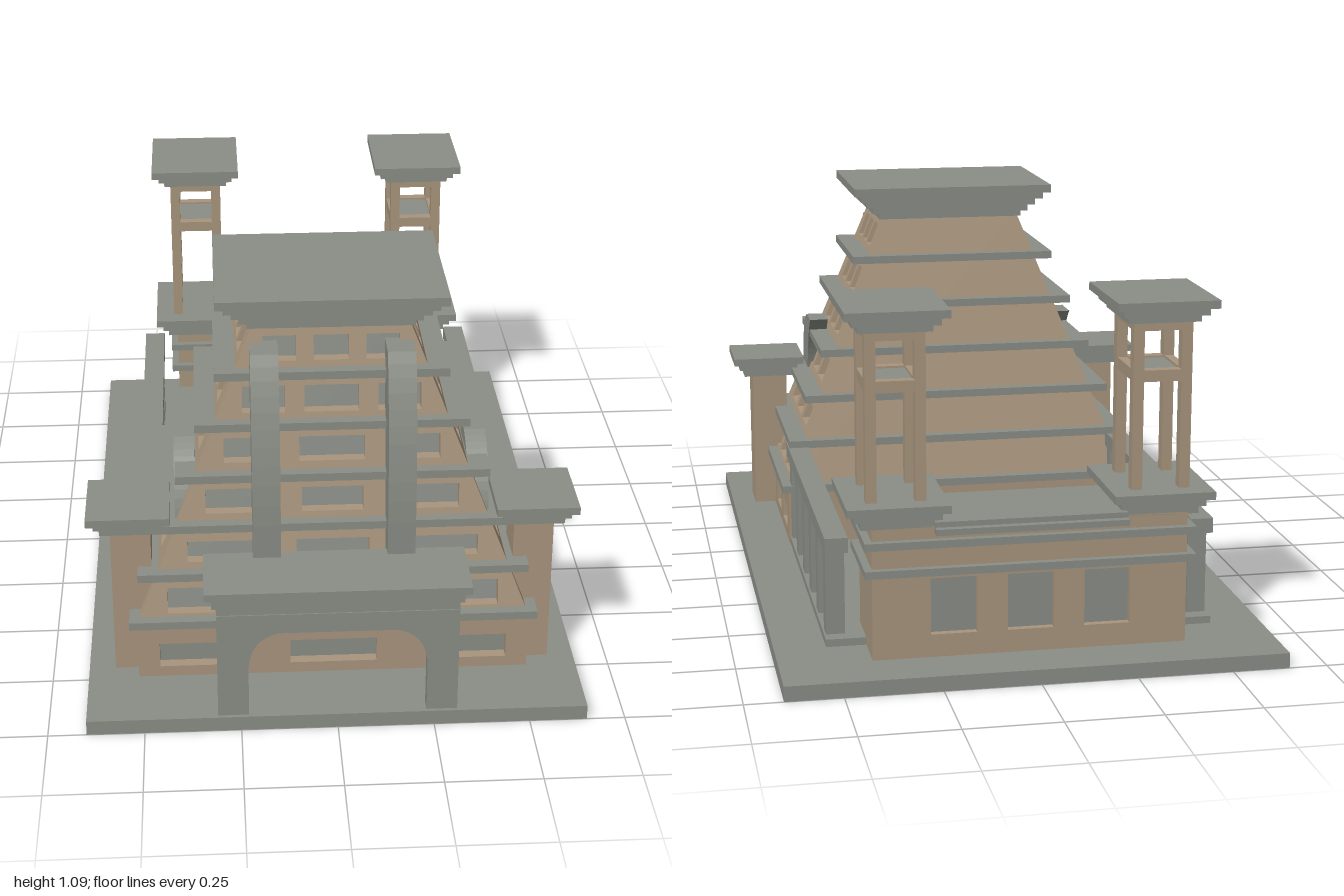
import * as THREE from 'three';

const stone = new THREE.MeshStandardMaterial({ color: 0x8a8e86 });
stone.name = 'grey stone';
const brick = new THREE.MeshStandardMaterial({ color: 0xa8957d });
brick.name = 'tan brick';

export function createModel() {
  const root = new THREE.Group();
  root.name = 'templeComplex';

  const add = (name, geo, mat, parent = root) => {
    const m = new THREE.Mesh(geo, mat);
    m.name = name;
    parent.add(m);
    return m;
  };
  // box given by its limits
  const box = (name, mat, x0, x1, y0, y1, z0, z1, parent) => {
    const g = new THREE.BoxGeometry(x1 - x0, y1 - y0, z1 - z0);
    g.translate((x0 + x1) / 2, (y0 + y1) / 2, (z0 + z1) / 2);
    return add(name, g, mat, parent);
  };
  const group = (name) => {
    const g = new THREE.Group();
    g.name = name;
    root.add(g);
    return g;
  };
  const path = (pts, T = THREE.Shape) => new T(pts.map(([x, y]) => new THREE.Vector2(x, y)));
  // side profile in (z, y), extruded from x0 to x1
  const profile = (name, mat, shape, x0, x1, parent) => {
    const g = new THREE.ExtrudeGeometry(shape, { depth: x1 - x0, bevelEnabled: false, curveSegments: 10 });
    g.rotateY(-Math.PI / 2).translate(x1, 0, 0);
    return add(name, g, mat, parent);
  };
  // widening cornice steps: [y0, y1, halfX, halfZ]
  const steps = (name, rows, cx, cz, parent) => rows.forEach(([a, b, hx, hz]) =>
    box(name, stone, cx - hx, cx + hx, a, b, cz - hz, cz + hz, parent));

  // ground slab and courtyard
  box('groundSlab', stone, -0.65, 0.65, 0, 0.04, -1, 1);
  const disc = new THREE.CylinderGeometry(0.305, 0.305, 0.006, 48);
  add('courtyardDisc', disc.translate(0, 0.043, -0.27), stone);

  // main tower outline: upright plinth below 0.2, tapering above
  const tower = group('mainTower');
  const t = (y) => Math.max(0, (y - 0.2) / 0.8);
  const hx = (y) => 0.517 - 0.317 * t(y);
  const zf = (y) => 0.8 - 0.145 * t(y);
  const zb = (y) => 0.175 + 0.16 * t(y);
  const zc = (y) => (zf(y) + zb(y)) / 2;
  const hz = (y) => (zf(y) - zb(y)) / 2;

  // one leaning wall; side is front, back, left or right
  const wall = (name, mat, side, y0, y1, holes, inset, thick) => {
    const across = side === 'front' || side === 'back';
    const half = (y) => (across ? hx(y) : hz(y)) - inset;
    const s = path([[-half(y0), y0], [half(y0), y0], [half(y1), y1], [-half(y1), y1]]);
    holes.forEach(([a, b, c, d]) => s.holes.push(path([[a, c], [a, d], [b, d], [b, c]], THREE.Path)));
    const g = new THREE.ExtrudeGeometry(s, { depth: thick, bevelEnabled: false });
    const p = g.attributes.position;
    for (let i = 0; i < p.count; i++) {
      const u = p.getX(i), y = p.getY(i), e = p.getZ(i) - thick - inset;
      if (side === 'front') p.setXYZ(i, u, y, zf(y) + e);
      else if (side === 'back') p.setXYZ(i, -u, y, zb(y) - e);
      else if (side === 'left') p.setXYZ(i, hx(y) + e, y, zc(y) - u);
      else p.setXYZ(i, -hx(y) - e, y, zc(y) + u);
    }
    g.computeVertexNormals();
    add(name, g, mat, tower);
  };

  // window rows: y0, y1, front (centre half, inner, outer), side (same)
  const rows = [
    [0.07, 0.14, 0.115, 0.25, 0.46, 0.065, 0.12, 0.25],
    [0.23, 0.3, 0.11, 0.18, 0.435, 0.06, 0.1, 0.22],
    [0.37, 0.425, 0.095, 0.16, 0.38, 0.052, 0.09, 0.2],
    [0.5, 0.565, 0.08, 0.14, 0.33, 0.048, 0.08, 0.18],
    [0.635, 0.7, 0.085, 0.15, 0.28, 0.042, 0.075, 0.155],
    [0.765, 0.835, 0.07, 0.12, 0.23, 0.038, 0.065, 0.135],
    [0.9, 0.965, 0.045, 0.09, 0.175, 0.033, 0.055, 0.122],
  ];
  const holesFor = (list, k) => list.flatMap((r) => [
    [-r[k], r[k], r[0], r[1]],
    [r[k + 1], r[k + 2], r[0], r[1]],
    [-r[k + 2], -r[k + 1], r[0], r[1]],
  ]);
  [[0.04, 0.2, rows.slice(0, 1)], [0.2, 1, rows.slice(1)]].forEach(([a, b, list]) => {
    for (const side of ['front', 'left', 'right', 'back']) {
      const holes = side === 'back' ? [] : holesFor(list, side === 'front' ? 2 : 5);
      wall(side + 'Wall', brick, side, a, b, holes, 0, 0.03);
      if (side !== 'back') wall(side + 'WindowBacking', stone, side, a, b, [], 0.03, 0.005);
    }
  });

  // ledges between storeys
  [0.2, 0.33, 0.46, 0.592, 0.727, 0.86].forEach((y, i) => {
    const x = hx(y) + (i ? 0.046 : 0.02);
    box('storeyLedge', stone, -x, x, y, y + 0.022, zb(y) - 0.025, zf(y) + 0.025, tower);
  });
  steps('towerRoof', [
    [0.985, 1.002, 0.215, 0.165], [1.002, 1.022, 0.235, 0.175], [1.022, 1.042, 0.255, 0.19],
    [1.042, 1.062, 0.275, 0.207], [1.062, 1.085, 0.296, 0.225],
  ], 0, 0.495, tower);

  // curved ribs running up the front
  const rib = new THREE.Shape();
  rib.moveTo(0.76, 0.22);
  rib.lineTo(0.82, 0.22);
  rib.lineTo(0.822, 0.5);
  rib.bezierCurveTo(0.822, 0.7, 0.785, 0.86, 0.735, 0.947);
  rib.lineTo(0.65, 0.947);
  rib.closePath();
  // short hooked ribs above the corner turrets
  const hook = new THREE.Shape();
  hook.moveTo(0.6, 0.48);
  hook.lineTo(0.73, 0.48);
  hook.quadraticCurveTo(0.71, 0.62, 0.6, 0.652);
  hook.lineTo(0.5, 0.652);
  hook.quadraticCurveTo(0.57, 0.6, 0.6, 0.48);

  for (const s of [-1, 1]) {
    const span = (a, b) => (s > 0 ? [a, b] : [-b, -a]);
    profile('frontRib', stone, rib, ...span(0.138, 0.21), tower);
    profile('sideRib', stone, hook, ...span(0.355, 0.41), tower);

    // corner turret
    const turret = group('cornerTurret');
    box('turretShaft', brick, ...span(0.475, 0.58), 0.04, 0.46, 0.63, 0.755, turret);
    steps('turretCap', [[0.455, 0.477, 0.075, 0.078], [0.477, 0.497, 0.09, 0.092], [0.497, 0.518, 0.108, 0.11]],
      s * 0.532, 0.69, turret);

    // courtyard colonnade
    const rail = group('colonnade');
    box('colonnadeFoot', stone, ...span(0.39, 0.515), 0.04, 0.06, -0.74, 0.17, rail);
    box('colonnadeBeam', stone, ...span(0.455, 0.515), 0.292, 0.332, -0.742, 0.25, rail);
    for (let i = 0; i < 6; i++) {
      const z = 0.18 - i * 0.171;
      box('colonnadePost', stone, ...span(0.46, 0.51), 0.06, 0.292, z - 0.025, z + 0.025, rail);
    }

    // open belfry on the rear hall
    const bell = group('rearBelfry');
    const cx = s * 0.343, cz = -0.735;
    steps('belfryBase', [[0.385, 0.407, 0.095, 0.125], [0.407, 0.427, 0.112, 0.14], [0.427, 0.448, 0.132, 0.157]], cx, cz, bell);
    for (const px of [-1, 1]) {
      for (const pz of [-1, 1]) {
        const x = cx + px * 0.063, z = cz + pz * 0.085;
        box('belfryPost', brick, x - 0.014, x + 0.014, 0.448, 0.885, z - 0.016, z + 0.016, bell);
      }
      for (const [a, b] of [[0.73, 0.76], [0.862, 0.885]]) {
        const x = cx + px * 0.063, z = cz + px * 0.085;
        box('belfryCrossBeam', brick, cx - 0.05, cx + 0.05, a, b, z - 0.014, z + 0.014, bell);
        box('belfrySideBeam', brick, x - 0.012, x + 0.012, a, b, cz - 0.07, cz + 0.07, bell);
      }
    }
    box('belfryFloor', stone, cx - 0.05, cx + 0.05, 0.74, 0.755, cz - 0.07, cz + 0.07, bell);
    steps('belfryRoof', [[0.885, 0.904, 0.095, 0.115], [0.904, 0.925, 0.112, 0.135], [0.925, 0.946, 0.132, 0.158]], cx, cz, bell);
  }

  // rear hall with three niches in its back wall
  const hall = group('rearHall');
  box('hallCore', brick, -0.41, 0.41, 0.04, 0.39, -0.835, -0.62, hall);
  const back = path([[-0.41, 0.04], [0.41, 0.04], [0.41, 0.39], [-0.41, 0.39]]);
  for (const x of [-0.2, 0, 0.2]) {
    back.holes.push(path([[x - 0.06, 0.1], [x - 0.06, 0.25], [x + 0.06, 0.25], [x + 0.06, 0.1]], THREE.Path));
    box('nichePanel', stone, x - 0.06, x + 0.06, 0.1, 0.25, -0.84, -0.834, hall);
  }
  const backGeo = new THREE.ExtrudeGeometry(back, { depth: 0.025, bevelEnabled: false });
  add('hallBackWall', backGeo.translate(0, 0, -0.86), brick, hall);
  for (const y of [0.262, 0.335]) box('hallBand', stone, -0.43, 0.43, y, y + 0.02, -0.88, -0.6, hall);
  box('hallRoof', stone, -0.25, 0.25, 0.385, 0.4, -0.87, -0.61, hall);
  box('hallRoofEdge', stone, -0.25, 0.25, 0.37, 0.386, -0.89, -0.6, hall);

  // entrance porch with a wide front arch and small side arches
  const porch = group('entrancePorch');
  const arch = new THREE.Shape();
  arch.moveTo(-0.31, 0.04);
  arch.lineTo(-0.23, 0.04);
  arch.lineTo(-0.23, 0.18);
  arch.quadraticCurveTo(-0.225, 0.27, -0.15, 0.285);
  arch.lineTo(0.15, 0.285);
  arch.quadraticCurveTo(0.225, 0.27, 0.23, 0.18);
  arch.lineTo(0.23, 0.04);
  arch.lineTo(0.31, 0.04);
  arch.lineTo(0.31, 0.34);
  arch.lineTo(-0.31, 0.34);
  const archGeo = new THREE.ExtrudeGeometry(arch, { depth: 0.035, bevelEnabled: false, curveSegments: 10 });
  add('porchFront', archGeo.translate(0, 0, 0.955), stone, porch);
  const sideArch = path([[0.8, 0.34], [0.8, 0.2], [0.83, 0.2], [0.85, 0.235], [0.89, 0.268],
    [0.93, 0.25], [0.956, 0.2], [0.956, 0.34]]);
  profile('porchSide', stone, sideArch, 0.23, 0.31, porch);
  profile('porchSide', stone, sideArch, -0.31, -0.23, porch);
  steps('porchRoof', [[0.335, 0.362, 0.31, 0.092], [0.362, 0.387, 0.322, 0.097], [0.387, 0.408, 0.34, 0.102]], 0, 0.895, porch);

  return root;
}
